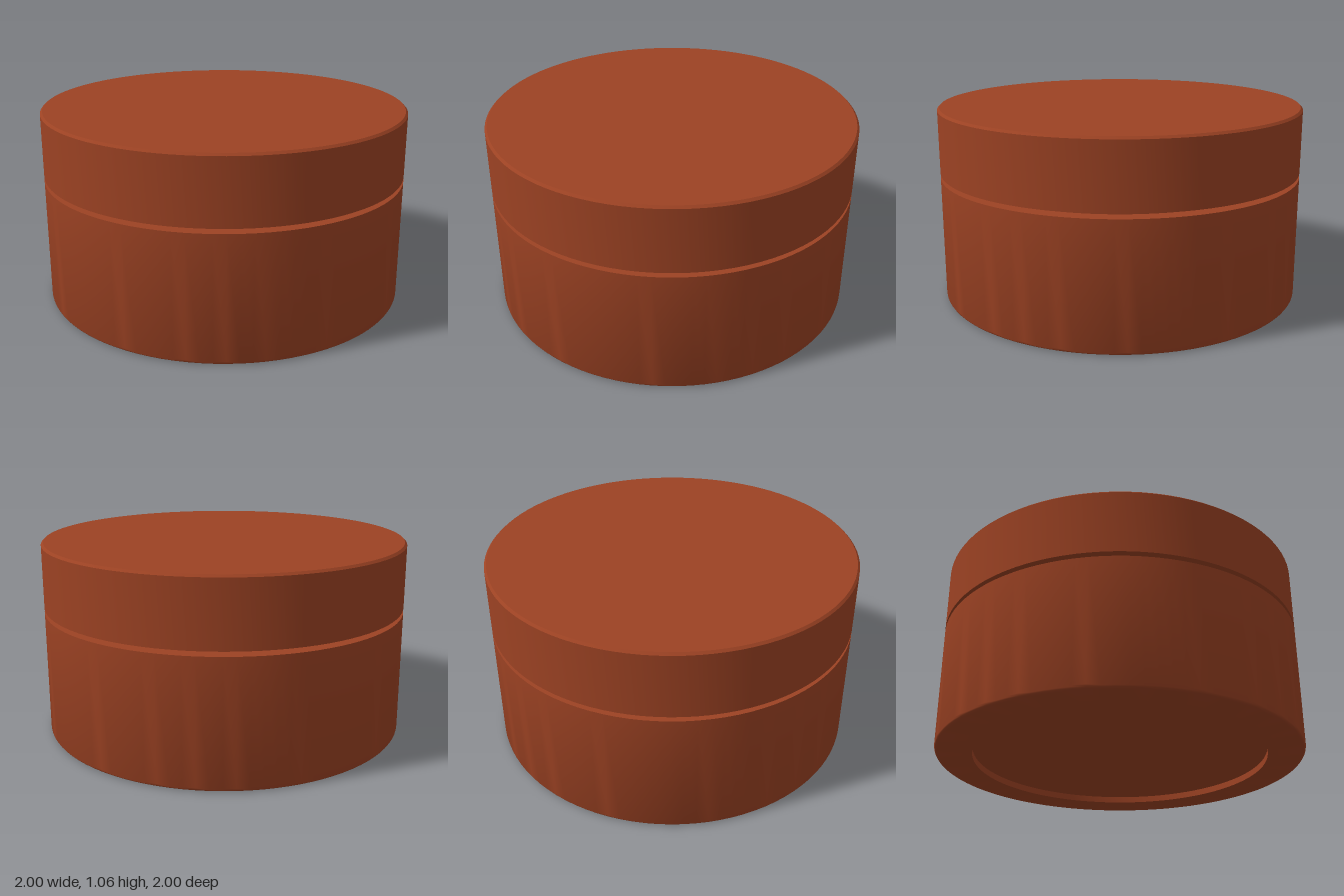
import * as THREE from 'three';
import { toCreasedNormals } from 'three/addons/utils/BufferGeometryUtils.js';

const SEGMENTS = 96;

// Revolve an outline; corners sharper than 40 degrees stay crisp
function turned(name, outline, material) {
  const points = outline.map(([r, y]) => new THREE.Vector2(r, y));
  const geometry = toCreasedNormals(new THREE.LatheGeometry(points, SEGMENTS), 0.7);
  const mesh = new THREE.Mesh(geometry, material);
  mesh.name = name;
  return mesh;
}

// Quarter-round corner turning from the underside up to the wall
function roundedFoot(radius, fillet, steps = 4) {
  return Array.from({ length: steps + 1 }, (_, i) => {
    const a = (i / steps) * Math.PI / 2;
    return [radius - fillet + fillet * Math.sin(a), fillet - fillet * Math.cos(a)];
  });
}

export function createModel() {
  const group = new THREE.Group();
  group.name = 'roundBox';
  const terracotta = new THREE.MeshStandardMaterial({ color: 0x9c4223 });
  terracotta.name = 'terracotta';

  // Hollow body: recessed base, rounded foot, shoulder and narrower neck
  group.add(turned('body', [
    [0, 0.035], [0.8, 0.035], [0.8, 0],
    ...roundedFoot(1, 0.018),
    [1, 0.68], [0.92, 0.68], [0.92, 0.86],
    [0.84, 0.86], [0.84, 0.1], [0, 0.1],
  ], terracotta));

  // Lid: hollow cap over the neck with a fine bevel around the top
  group.add(turned('lid', [
    [0, 0.96], [0.925, 0.96], [0.925, 0.705],
    [1, 0.705], [1, 1.05], [0.988, 1.062], [0, 1.062],
  ], terracotta));

  return group;
}
